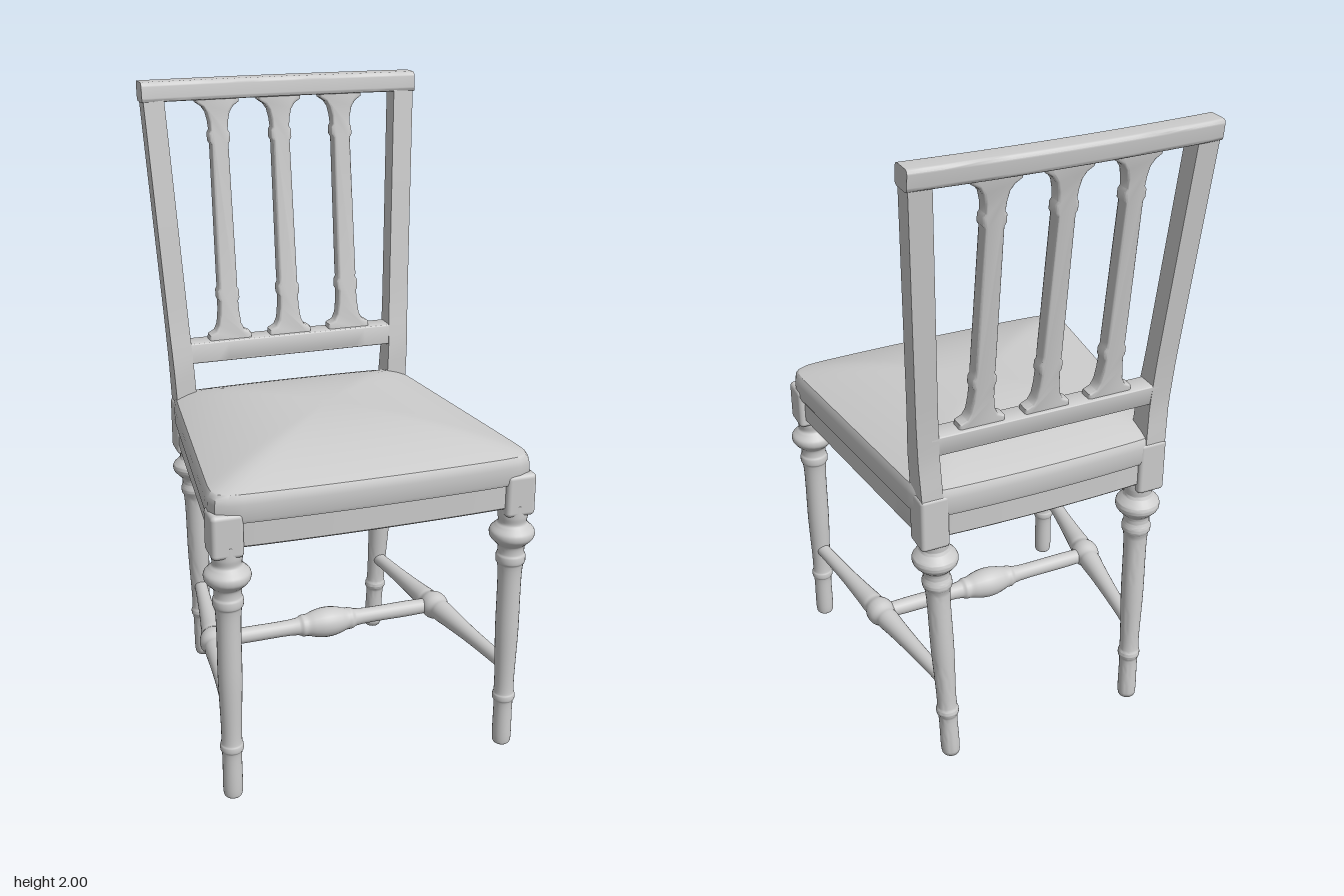
import * as THREE from 'three';
import { toCreasedNormals } from 'three/addons/utils/BufferGeometryUtils.js';
import { RoundedBoxGeometry } from 'three/addons/geometries/RoundedBoxGeometry.js';

const material = new THREE.MeshStandardMaterial({ color: 0xcccccc });
const { clamp } = THREE.MathUtils;

function add(parent, name, geometry, x = 0, y = 0, z = 0) {
  const mesh = new THREE.Mesh(geometry, material);
  mesh.name = name;
  mesh.position.set(x, y, z);
  parent.add(mesh);
  return mesh;
}

// Move every vertex by a rule, then rebuild the normals.
function deform(geometry, rule) {
  const p = geometry.attributes.position;
  const v = new THREE.Vector3();
  for (let i = 0; i < p.count; i++) {
    rule(v.fromBufferAttribute(p, i));
    p.setXYZ(i, v.x, v.y, v.z);
  }
  return toCreasedNormals(geometry, 0.7);
}

// Turned profile: smooth curve through [radius, height] pairs, closed at both ends.
function turned(pairs, divisions = 64) {
  const curve = new THREE.CatmullRomCurve3(
    pairs.map(([r, y]) => new THREE.Vector3(r, y, 0)), false, 'centripetal');
  const pts = curve.getPoints(divisions).map(p => new THREE.Vector2(p.x, p.y));
  pts.unshift(new THREE.Vector2(0, pairs[0][1]));
  pts.push(new THREE.Vector2(0, pairs[pairs.length - 1][1]));
  return new THREE.LatheGeometry(pts, 24);
}

// Turned rod between two points; profile heights run from 0 to 1.
function rod(parent, name, a, b, profile) {
  const dir = new THREE.Vector3().subVectors(b, a);
  const length = dir.length();
  const mesh = add(parent, name, turned(profile.map(([r, t]) => [r, t * length])), a.x, a.y, a.z);
  mesh.quaternion.setFromUnitVectors(new THREE.Vector3(0, 1, 0), dir.normalize());
}

// The backrest leans backwards and bows gently towards the top.
const leanZ = y => -0.364 - 0.1125 * Math.max(0, y - 1.1);
const lean = v => {
  const bow = 0.015 * clamp((v.y - 1.1) / 0.85, 0, 1) * (1 - (v.x / 0.45) ** 2);
  v.z += leanZ(v.y) - bow;
};

// Rounded horizontal rail of the backrest.
function backRail(halfLength, y0, y1, halfDepth, r) {
  const s = new THREE.Shape();
  const d = halfDepth;
  s.moveTo(-d + r, y0).lineTo(d - r, y0);
  s.quadraticCurveTo(d, y0, d, y0 + r).lineTo(d, y1 - r);
  s.quadraticCurveTo(d, y1, d - r, y1).lineTo(-d + r, y1);
  s.quadraticCurveTo(-d, y1, -d, y1 - r).lineTo(-d, y0 + r);
  s.quadraticCurveTo(-d, y0, -d + r, y0);
  const g = new THREE.ExtrudeGeometry(s, {
    depth: 2 * halfLength, steps: 20, bevelEnabled: false, curveSegments: 6 });
  g.translate(0, 0, -halfLength).rotateY(Math.PI / 2);
  return deform(g, lean);
}

// Loft of seat outlines (rounded trapezoids); each ring is [scale, y].
function seatLoft(rings) {
  const N = 120, pos = [], idx = [];
  const pow = 18;
  for (const [scale, y] of rings) {
    for (let i = 0; i < N; i++) {
      const a = (i / N) * Math.PI * 2;
      const c = Math.cos(a), s = Math.sin(a);
      const r = (Math.abs(c) ** pow + Math.abs(s) ** pow) ** (-1 / pow);
      const u = c * r * scale, v = s * r * scale;
      const z = 0.042 + 0.448 * v + 0.014 * v * (1 - u * u);
      pos.push(u * (0.447 + 0.11 * z), y, z);
    }
  }
  for (let k = 0; k < rings.length - 1; k++) {
    for (let i = 0; i < N; i++) {
      const j = (i + 1) % N, a = k * N, b = a + N;
      idx.push(a + i, b + i, a + j, a + j, b + i, b + j);
    }
  }
  const g = new THREE.BufferGeometry();
  g.setAttribute('position', new THREE.Float32BufferAttribute(pos, 3));
  g.setIndex(idx);
  return toCreasedNormals(g, 0.7);
}

// Splat with moulded foot and flared capital: [half width, y] pairs, mirrored.
function splat(x) {
  const side = [
    [0.072, 1.165], [0.07, 1.185], [0.05, 1.195], [0.038, 1.22], [0.033, 1.26], [0.031, 1.30],
    [0.036, 1.31], [0.036, 1.33], [0.03, 1.34], [0.031, 1.36], [0.028, 1.80], [0.034, 1.81],
    [0.034, 1.83], [0.028, 1.84], [0.031, 1.87], [0.038, 1.90], [0.052, 1.92], [0.07, 1.932],
    [0.072, 1.95]];
  const bevel = 0.008;
  const right = side.map(([w, y]) => new THREE.Vector2(w - bevel, y));
  const left = side.map(([w, y]) => new THREE.Vector2(bevel - w, y)).reverse();
  const g = new THREE.ExtrudeGeometry(new THREE.Shape([...right, ...left]), {
    depth: 0.032, bevelSize: bevel, bevelThickness: bevel, bevelSegments: 3 });
  g.translate(x, 0, -0.016);
  return deform(g, lean);
}

export function createModel() {
  const chair = new THREE.Group();
  chair.name = 'chair';

  // Seat: closed frame below, domed cushion above
  add(chair, 'seatFrame', seatLoft([[0, 0.83], [0.965, 0.83], [0.975, 0.835], [0.975, 0.92]]));
  const dome = [[0.975, 0.905], [0.99, 0.908], [1, 0.92], [1, 0.965], [0.995, 0.98]];
  for (let i = 0; i <= 16; i++) {
    const t = 0.98 * Math.cos((i / 16) * Math.PI / 2);
    dome.push([t, 0.99 + 0.08 * (1 - t ** 2.3)]);
  }
  add(chair, 'cushion', seatLoft(dome));

  // Leg profile: tapered shaft, ring near the foot, collar at the top
  const legProfile = [
    [0.024, 0], [0.028, 0.006], [0.031, 0.155], [0.035, 0.163], [0.035, 0.178], [0.032, 0.186],
    [0.036, 0.40], [0.04, 0.635], [0.045, 0.645], [0.045, 0.665], [0.041, 0.675], [0.043, 0.70],
    [0.054, 0.712], [0.068, 0.73], [0.068, 0.748], [0.052, 0.766], [0.044, 0.776], [0.046, 0.80],
    [0.046, 0.84]];

  for (const side of [-1, 1]) {
    const label = side > 0 ? 'left' : 'right';

    add(chair, label + 'FrontLeg', turned(legProfile, 160), side * 0.444, 0, 0.452);
    add(chair, label + 'FrontCorner', new RoundedBoxGeometry(0.095, 0.135, 0.095, 3, 0.014),
      side * 0.45, 0.872, 0.45);

    // Back legs splay towards the foot
    add(chair, label + 'BackLeg', deform(turned(legProfile, 160), v => {
      v.x += side * (0.322 + 0.03 * v.y);
      v.z += -0.402 + 0.055 * v.y;
    }));
    add(chair, label + 'BackCorner', new RoundedBoxGeometry(0.09, 0.175, 0.092, 3, 0.012),
      side * 0.36, 0.888, -0.366);

    // Stile: leans back and out, deeper near the seat
    const stile = new THREE.BoxGeometry(0.066, 1.13, 1, 1, 24, 1).translate(0, 1.415, 0);
    add(chair, label + 'Stile', deform(stile, v => {
      v.x += side * (0.373 + 0.05 * (v.y - 1.1));
      v.z = v.z * (0.066 + 0.024 * clamp((1.25 - v.y) / 0.3, 0, 1)) + leanZ(v.y);
    }));

    // Side stretcher with a swelling in the middle
    rod(chair, label + 'SideStretcher',
      new THREE.Vector3(side * 0.444, 0.28, 0.452), new THREE.Vector3(side * 0.33, 0.28, -0.385),
      [[0.022, 0], [0.023, 0.1], [0.026, 0.25], [0.033, 0.4], [0.036, 0.45], [0.036, 0.47],
        [0.045, 0.5], [0.045, 0.53], [0.036, 0.56], [0.036, 0.58], [0.032, 0.64], [0.026, 0.78],
        [0.023, 0.9], [0.022, 1]]);
  }

  // Cross stretcher
  rod(chair, 'crossStretcher', new THREE.Vector3(-0.385, 0.28, 0.015), new THREE.Vector3(0.385, 0.28, 0.015),
    [[0.024, 0], [0.026, 0.12], [0.029, 0.37], [0.036, 0.39], [0.036, 0.41], [0.043, 0.44],
      [0.049, 0.48], [0.049, 0.52], [0.043, 0.56], [0.036, 0.59], [0.036, 0.61], [0.029, 0.63],
      [0.026, 0.88], [0.024, 1]]);

  // Backrest rails and splats
  add(chair, 'topRail', backRail(0.453, 1.938, 2, 0.039, 0.014));
  add(chair, 'lowerRail', backRail(0.365, 1.108, 1.175, 0.036, 0.008));
  for (const x of [-0.205, 0, 0.205]) add(chair, 'splat', splat(x));

  return chair;
}
